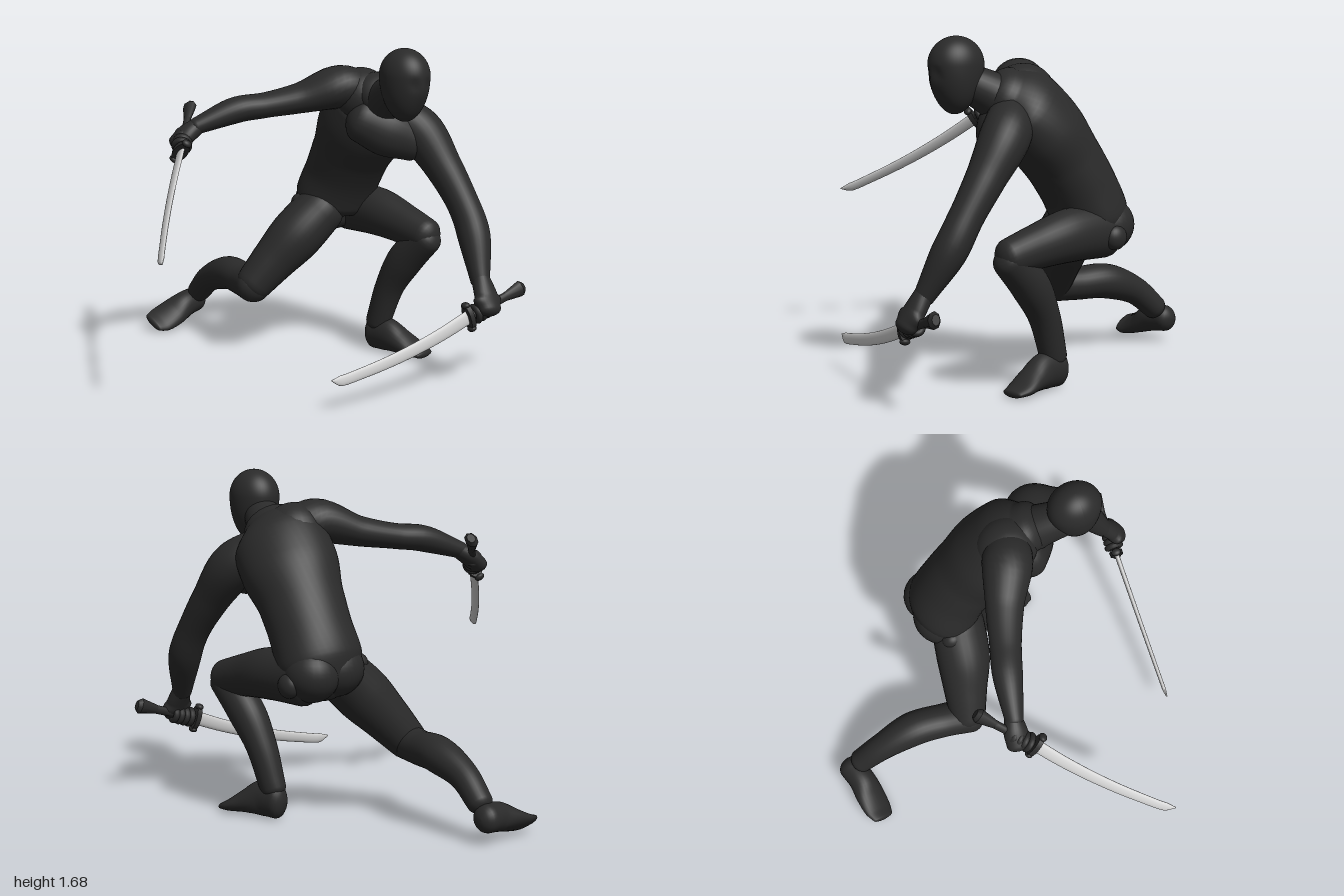
import * as THREE from 'three';

const suit = new THREE.MeshStandardMaterial({ color: 0x2a2a2a });
suit.name = 'dark suit';
const steel = new THREE.MeshStandardMaterial({ color: 0xd0d0d0 });
steel.name = 'steel';
const V = (a) => new THREE.Vector3(...a);

function mesh(name, geometry, material = suit) {
  const m = new THREE.Mesh(geometry, material);
  m.name = name;
  return m;
}

function ball(name, pos, scale) {
  const m = mesh(name, new THREE.SphereGeometry(1, 28, 20));
  m.position.set(...pos);
  m.scale.set(...scale);
  return m;
}

// Smooth round-ended body through stations [x, y, z, halfWidth, halfDepth].
// The width axis turns from axisA to axisB along the way.
function loft(name, stations, axisA, axisB = axisA, sides = 28, material = suit) {
  const path = new THREE.CatmullRomCurve3(stations.map((s) => V(s.slice(0, 3))));
  const size = new THREE.CatmullRomCurve3(stations.map((s) => V([s[3], s[4] ?? s[3], 0])));
  const steps = (stations.length - 1) * 7, cap = 6, rings = [];
  for (let k = 0; k < cap; k++) rings.push([0, k / cap - 1]);
  for (let i = 0; i <= steps; i++) rings.push([i / steps, 0]);
  for (let k = 1; k <= cap; k++) rings.push([1, k / cap]);
  const pos = [], index = [];
  rings.forEach(([u, c], i) => {
    const t = path.getTangent(u), r = size.getPoint(u);
    const shrink = Math.max(Math.cos(c * Math.PI / 2), 0.002);
    const centre = path.getPoint(u).addScaledVector(t, Math.sin(c * Math.PI / 2) * Math.min(r.x, r.y) * 0.8);
    const a = V(axisA).lerp(V(axisB), u);
    a.addScaledVector(t, -a.dot(t)).normalize();
    const b = t.clone().cross(a);
    for (let j = 0; j < sides; j++) {
      const q = (j / sides) * Math.PI * 2;
      const p = centre.clone()
        .addScaledVector(a, r.x * shrink * Math.cos(q))
        .addScaledVector(b, r.y * shrink * Math.sin(q));
      pos.push(p.x, p.y, p.z);
      if (i < rings.length - 1) {
        const p0 = i * sides + j, p1 = i * sides + (j + 1) % sides;
        index.push(p0, p1, p0 + sides, p1, p1 + sides, p0 + sides);
      }
    }
  });
  const g = new THREE.BufferGeometry();
  g.setAttribute('position', new THREE.Float32BufferAttribute(pos, 3));
  g.setIndex(index);
  g.computeVertexNormals();
  return mesh(name, g, material);
}

// Masked head: sphere stretched down to the chin, with eye sockets and nose ridge
function makeHead() {
  const g = new THREE.SphereGeometry(1, 48, 36);
  const p = g.attributes.position;
  for (let i = 0; i < p.count; i++) {
    let x = p.getX(i), y = p.getY(i), z = p.getZ(i);
    const t = Math.pow(Math.max(-y, 0), 1.4), front = Math.max(z, 0);
    const nose = 0.06 * front * Math.exp(-((x / 0.16) ** 2) - ((y + 0.35) / 0.22) ** 2);
    const sockets = 0.07 * front * Math.exp(-(((Math.abs(x) - 0.36) / 0.2) ** 2) - ((y + 0.15) / 0.12) ** 2);
    z = z * (1 - 0.15 * t) + 0.06 * t + nose - sockets;
    x *= 1 + 0.08 * t;
    y *= y < 0 ? 1.7 : 1;
    p.setXYZ(i, x * 0.118, y * 0.135, z * 0.138);
  }
  g.computeVertexNormals();
  const head = mesh('head', g);
  head.position.set(0.47, 1.545, 0.525);
  head.rotation.y = -0.08;
  return head;
}

// Curved sword: guard at the origin, blade along +x, cutting edge towards +y
function makeSword(name, guardAt, tipAt, edge) {
  const sword = new THREE.Group();
  sword.name = name;
  const x = V(tipAt).sub(V(guardAt)), length = x.length();
  x.normalize();
  const y = V(edge).addScaledVector(x, -V(edge).dot(x)).normalize();
  sword.quaternion.setFromRotationMatrix(new THREE.Matrix4().makeBasis(x, y, x.clone().cross(y)));
  sword.position.set(...guardAt);

  // lens-shaped blade, bowed towards the edge, its point at the back
  const blade = [0, 0.2, 0.4, 0.6, 0.8, 0.94].map((t) =>
    [length * t, 0.115 * t * (1 - t), 0, 0.036 - 0.01 * t, 0.013 - 0.003 * t]);
  blade.push([length, -0.014, 0, 0.004, 0.004]);
  sword.add(loft('blade', blade, [0, 1, 0], [0, 1, 0], 20, steel));

  // oval guard, with a rounded lobe at each end
  const guard = mesh('guard', new THREE.CylinderGeometry(1, 1, 0.026, 28));
  guard.rotation.z = Math.PI / 2;
  guard.scale.set(0.066, 1, 0.036);
  sword.add(guard);
  for (const s of [-1, 1]) sword.add(ball('guardLobe', [0.002, s * 0.062, 0], [0.021, 0.016, 0.026]));

  // grip, bent slightly back and flaring into an angular pommel
  const grip = new THREE.Group();
  grip.name = 'grip';
  grip.rotation.z = Math.PI / 2 + 0.05;
  grip.scale.z = 0.75;
  const wrap = mesh('wrap', new THREE.CylinderGeometry(0.023, 0.02, 0.24, 16));
  wrap.position.y = 0.12;
  const flare = mesh('pommelFlare', new THREE.CylinderGeometry(0.042, 0.022, 0.105, 8));
  flare.position.y = 0.2825;
  const end = mesh('pommelEnd', new THREE.CylinderGeometry(0.026, 0.042, 0.02, 8));
  end.position.y = 0.345;
  grip.add(wrap, flare, end);
  sword.add(grip);

  // fingers closed around the grip
  for (let i = 0; i < 4; i++) {
    const finger = mesh('finger', new THREE.TorusGeometry(0.036 - 0.002 * i, 0.0165, 10, 24));
    finger.rotation.y = Math.PI / 2;
    finger.position.x = -0.04 - 0.03 * i;
    sword.add(finger);
  }
  return sword;
}

export function createModel() {
  const model = new THREE.Group();
  model.name = 'crouchingSwordFighter';
  const X = [1, 0, 0], Z = [0, 0, 1];

  // twisted torso, neck and head
  model.add(loft('torso', [
    [0.64, 0.70, -0.16, 0.13, 0.10], [0.64, 0.74, -0.16, 0.185, 0.15], [0.64, 0.82, -0.135, 0.215, 0.185],
    [0.635, 0.95, -0.07, 0.205, 0.185], [0.62, 1.08, 0.01, 0.21, 0.187], [0.60, 1.22, 0.11, 0.24, 0.196],
    [0.58, 1.34, 0.21, 0.235, 0.175], [0.55, 1.40, 0.30, 0.15, 0.125],
  ], [0.99, -0.05, 0.05], [0.62, -0.5, 0.6], 40));
  model.add(loft('chest', [
    [0.455, 1.29, 0.25, 0.10, 0.12], [0.55, 1.24, 0.33, 0.11, 0.14], [0.66, 1.18, 0.41, 0.09, 0.11],
  ], Z));
  model.add(ball('upperBack', [0.52, 1.39, 0.17], [0.15, 0.15, 0.16]));
  model.add(ball('buttockLeft', [0.725, 0.76, -0.175], [0.135, 0.135, 0.14]));
  model.add(ball('buttockRight', [0.59, 0.775, -0.18], [0.15, 0.14, 0.15]));
  model.add(loft('neck', [[0.56, 1.35, 0.28, 0.13], [0.52, 1.41, 0.37, 0.105], [0.48, 1.46, 0.46, 0.09]], X));
  model.add(makeHead());

  // round hip joints
  model.add(ball('hipJointLeft', [0.84, 0.715, -0.14], [0.045, 0.06, 0.06]));
  model.add(ball('hipJointRight', [0.45, 0.785, -0.2], [0.05, 0.05, 0.055]));

  // right arm stretched out to the side and back
  model.add(loft('rightArm', [
    [0.52, 1.42, 0.17, 0.11, 0.10], [0.42, 1.445, 0.12, 0.125, 0.11], [0.25, 1.392, 0.005, 0.095, 0.076],
    [0.08, 1.36, -0.09, 0.078, 0.064], [-0.04, 1.345, -0.15, 0.075, 0.066], [-0.24, 1.275, -0.23, 0.046, 0.042],
  ], Z));
  model.add(loft('rightHand', [
    [-0.23, 1.275, -0.23, 0.044, 0.042], [-0.29, 1.235, -0.25, 0.06, 0.045], [-0.335, 1.195, -0.26, 0.06, 0.042],
  ], Z));

  // left arm reaching down and forward
  model.add(loft('leftArm', [
    [0.62, 1.30, 0.32, 0.11], [0.70, 1.225, 0.41, 0.12], [0.74, 1.05, 0.55, 0.095],
    [0.755, 0.87, 0.68, 0.082], [0.75, 0.75, 0.75, 0.084], [0.69, 0.53, 0.86, 0.05],
  ], X));
  model.add(loft('leftHand', [
    [0.69, 0.54, 0.86, 0.046], [0.68, 0.46, 0.91, 0.066, 0.046], [0.67, 0.40, 0.945, 0.066, 0.046],
  ], X));

  // left leg planted in front
  model.add(loft('leftThigh', [
    [0.745, 0.74, -0.14, 0.11, 0.135], [0.755, 0.735, 0.08, 0.115, 0.128],
    [0.755, 0.70, 0.28, 0.098, 0.105], [0.755, 0.67, 0.42, 0.085, 0.09],
  ], X));
  model.add(loft('leftShin', [
    [0.755, 0.655, 0.425, 0.08, 0.085], [0.74, 0.52, 0.295, 0.09, 0.095],
    [0.725, 0.36, 0.20, 0.077, 0.077], [0.71, 0.15, 0.13, 0.062, 0.068],
  ], X));
  model.add(loft('leftFoot', [
    [0.71, 0.088, 0.105, 0.06, 0.088], [0.72, 0.09, 0.19, 0.066, 0.09], [0.74, 0.064, 0.28, 0.076, 0.062],
    [0.76, 0.036, 0.36, 0.08, 0.035], [0.765, 0.022, 0.415, 0.062, 0.02],
  ], X));

  // right leg kneeling out to the side, shin trailing behind
  model.add(loft('rightThigh', [
    [0.52, 0.75, -0.13, 0.14, 0.13], [0.40, 0.63, -0.17, 0.14, 0.14],
    [0.28, 0.49, -0.23, 0.115, 0.12], [0.185, 0.375, -0.275, 0.095, 0.10],
  ], Z));
  model.add(loft('rightShin', [
    [0.175, 0.365, -0.265, 0.095, 0.09], [0.22, 0.36, -0.40, 0.09, 0.085], [0.26, 0.36, -0.56, 0.092, 0.09],
    [0.28, 0.29, -0.75, 0.072, 0.072], [0.30, 0.19, -0.87, 0.064, 0.062],
  ], X));
  model.add(loft('rightFoot', [
    [0.315, 0.125, -0.93, 0.066, 0.07], [0.23, 0.115, -0.915, 0.07, 0.072], [0.14, 0.08, -0.915, 0.084, 0.05],
    [0.06, 0.055, -0.915, 0.082, 0.032], [0.01, 0.05, -0.912, 0.066, 0.022],
  ], [0, 0.5, -0.85]));

  // swords
  model.add(makeSword('rightSword', [-0.375, 1.17, -0.19], [-0.90, 0.77, 0.30], [-0.09, -0.70, -0.67]));
  model.add(makeSword('leftSword', [0.58, 0.365, 0.89], [-0.21, 0.155, 0.74], [0.25, -0.95, 0.2]));
  return model;
}
